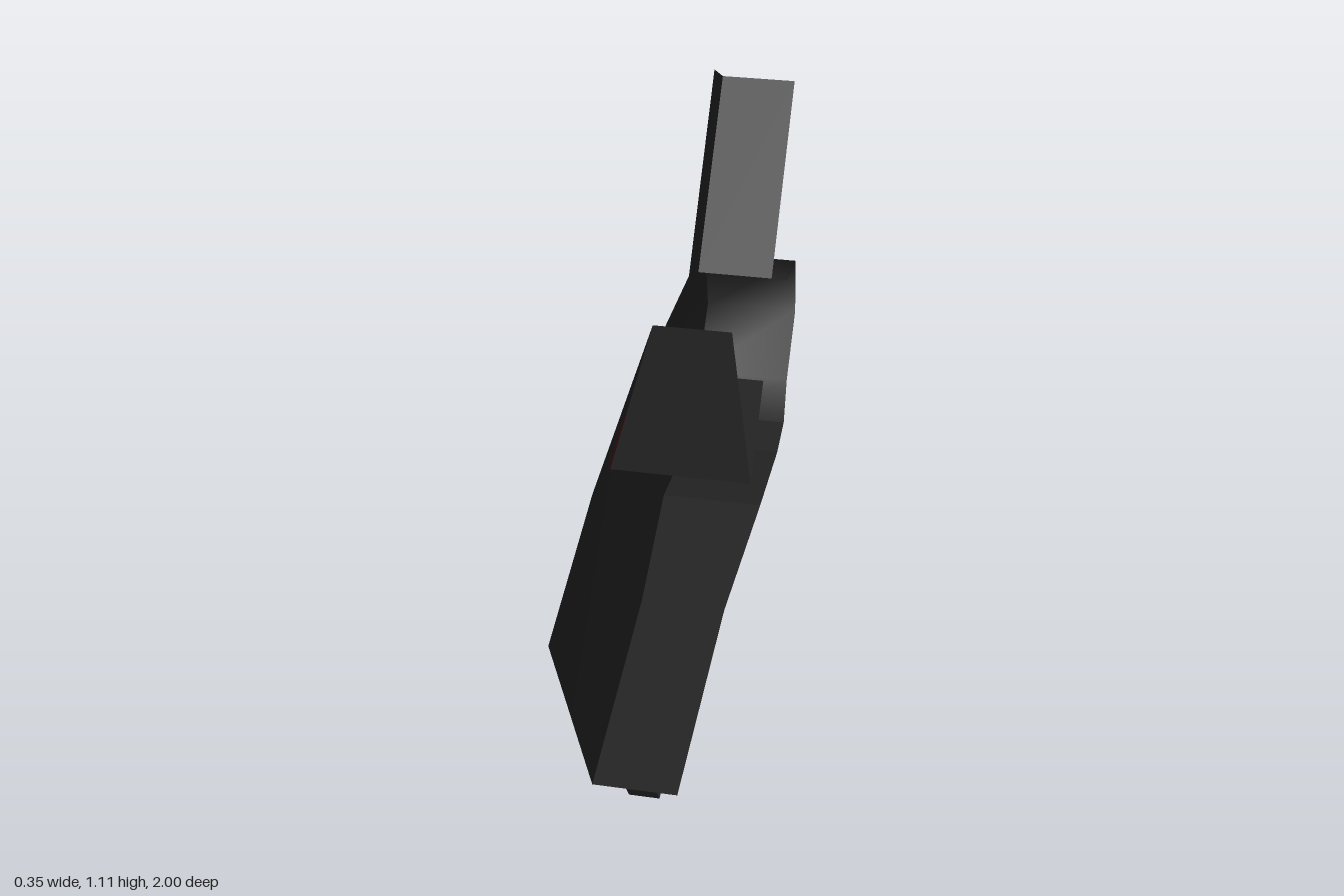
import * as THREE from 'three';

const charcoal = new THREE.MeshStandardMaterial({ color: 0x242424, side: THREE.DoubleSide });
charcoal.name = 'charcoal';
const darkRed = new THREE.MeshStandardMaterial({ color: 0x5a0b10, side: THREE.DoubleSide });
darkRed.name = 'dark red';

// Skins a row of cross-sections; each section is a list of [x, y, z] points.
function loft(name, sections, smooth = false) {
  const n = sections[0].length;
  const index = [];
  for (let i = 0; i < sections.length - 1; i++) {
    for (let j = 0; j < n - 1; j++) {
      const a = i * n + j, b = a + n;
      index.push(a, a + 1, b, b, a + 1, b + 1);
    }
  }
  let geometry = new THREE.BufferGeometry();
  geometry.setAttribute('position', new THREE.Float32BufferAttribute(sections.flat(2), 3));
  geometry.setIndex(index);
  if (!smooth) geometry = geometry.toNonIndexed();
  geometry.computeVertexNormals();
  const mesh = new THREE.Mesh(geometry, charcoal);
  mesh.name = name;
  return mesh;
}

// A folded band running across the body; each row is [z, y, xRight, xLeft].
function band(name, rows) {
  return loft(name, rows.map(([z, y, x0, x1]) => [[x1, y, z], [x0, y, z]]));
}

export function createModel() {
  const model = new THREE.Group();
  model.name = 'openShell';

  // Side skin: each section runs top, ridge, bottom
  model.add(loft('sidePanel', [
    [[-0.06, 1.02, 1], [-0.175, 0.585, 1], [-0.095, 0.16, 1]],
    [[-0.06, 1.02, 0.37], [-0.175, 0.585, 0.37], [-0.105, 0.16, 0.37]],
    [[-0.175, 0.585, 0.37], [-0.175, 0.585, 0.37], [-0.105, 0.16, 0.37]],
    [[-0.175, 0.585, -0.07], [-0.175, 0.585, -0.07], [-0.13, 0.16, -0.07]],
    [[-0.115, 0.68, -0.41], [-0.175, 0.48, -0.41], [-0.13, 0.06, -0.45]],
    [[-0.135, 0.6, -0.565], [-0.175, 0.4, -0.575], [-0.13, 0.06, -0.605]],
    [[-0.13, 0.535, -0.785], [-0.13, 0.33, -0.825], [-0.13, 0.19, -0.65]],
  ], true));

  // Upright wall behind the open head and the deck that follows it
  model.add(band('headWall', [[0.37, 1.02, -0.06, 0.125], [0.37, 0.585, -0.175, 0.175]]));
  model.add(band('deck', [[0.37, 0.585, -0.175, 0.175], [-0.07, 0.585, -0.175, 0.145]]));

  // Floor, belly and rounded rear end
  model.add(band('floor', [
    [1, 0.16, -0.095, 0.104], [0.37, 0.16, -0.105, 0.113], [-0.07, 0.16, -0.13, 0.145],
    [-0.45, 0.06, -0.13, 0.145], [-0.605, 0.06, -0.13, 0.145],
  ]));
  const rear = [[-0.605, 0.06], [-0.65, 0.19], [-0.825, 0.33], [-0.785, 0.535], [-0.565, 0.6]];
  model.add(loft('rearCap', rear.map(([z, y]) => [[0.145, y, z], [-0.13, y, z]]), true));

  // Raised arm: a slab with one side flange
  const arm = new THREE.Group();
  arm.name = 'arm';
  arm.add(band('armSlab', [[-0.565, 0.6, -0.115, 0.1], [-1, 1.02, -0.115, 0.1]]));
  arm.add(loft('armFlange', [
    [[-0.115, 0.68, -0.41], [-0.115, 0.6, -0.565]],
    [[-0.115, 1.11, -0.845], [-0.115, 1.02, -1]],
  ]));
  model.add(arm);

  // Foot: a bent strip closed on one side
  const foot = new THREE.Group();
  foot.name = 'foot';
  const profile = [[0.96, 0.155], [0.88, 0], [0.62, 0], [0.38, 0.16]];
  foot.add(band('footStrip', profile.map(([z, y]) => [z, y, -0.038, 0.037])));
  foot.add(loft('footSide', [
    [[-0.038, 0.155, 0.96], [-0.038, 0, 0.88]],
    [[-0.038, 0.16, 0.38], [-0.038, 0, 0.62]],
  ]));
  model.add(foot);

  // Red oval on both faces of the head panel, tilted with it
  for (const side of [-1, 1]) {
    const spot = new THREE.Mesh(new THREE.CircleGeometry(1, 24), darkRed);
    spot.name = side > 0 ? 'innerSpot' : 'outerSpot';
    spot.scale.set(0.082, 0.06, 1);
    spot.rotation.order = 'ZYX';
    spot.rotation.set(0, side * Math.PI / 2, -Math.atan2(0.115, 0.435));
    spot.position.set(-0.11 + side * 0.004, 0.832, 0.585);
    model.add(spot);
  }
  return model;
}
